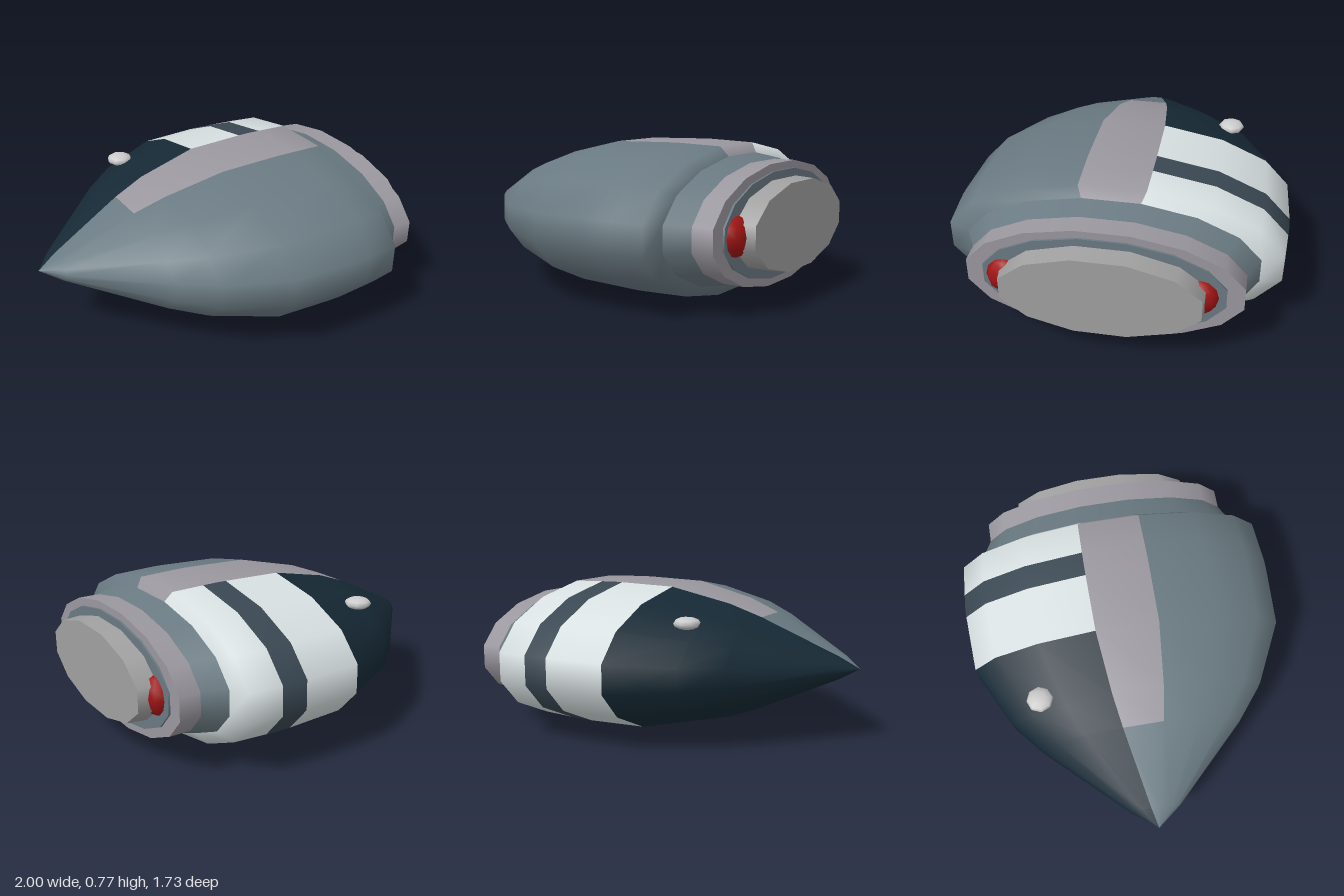
import * as THREE from 'three';

const SIDES = 16, STEP = (Math.PI * 2) / SIDES, FLAT = 0.449, CENTRE_Y = 0.39;
const COLORS = {
  hull: 0x6a7a82, light: 0xd8e0e2, stripe: 0x3a4853, nose: 0x162935,
  trim: 0x9a979f, engine: 0xa0a0a0, red: 0xa01414, white: 0xf4f4f4,
};

export function createModel() {
  const group = new THREE.Group();
  group.name = 'spacecraft';

  function add(name, geometry, color) {
    const material = new THREE.MeshStandardMaterial({ color, side: THREE.DoubleSide });
    const mesh = new THREE.Mesh(geometry, material);
    mesh.name = name;
    group.add(mesh);
    return mesh;
  }

  // Elliptical shell along x: profile holds [x, half width]; faces are counted from the bottom one
  function shell(name, profile, color, first = 0, count = SIDES, sides = SIDES) {
    const step = (Math.PI * 2) / sides;
    const points = profile.map(([x, w]) => new THREE.Vector2(w / Math.cos(step / 2), x));
    const start = Math.PI / 2 - step / 2 + first * step;
    const geometry = new THREE.LatheGeometry(points, count, start, count * step);
    geometry.rotateZ(-Math.PI / 2).scale(1, FLAT, 1).translate(0, CENTRE_Y, 0);
    return add(name, geometry, color);
  }

  // Hull outline, cut into panels along its length
  const outline = [[-1, 0], [-0.9, 0.13], [-0.5, 0.54], [-0.33, 0.68], [0, 0.845],
    [0.32, 0.862], [0.38, 0.863], [0.455, 0.858], [0.63, 0.845], [0.665, 0.735]];
  const between = (a, b) => outline.filter(([x]) => x >= a && x <= b);

  // Front half with the belly face
  shell('frontHull', outline, COLORS.hull, 9, 8);

  // Back half: dark nose, light panels and a stripe
  shell('backNose', between(-1, 0), COLORS.nose, 1, 7);
  shell('backPanel', between(0, 0.32), COLORS.light, 1, 7);
  shell('backStripe', between(0.32, 0.455), COLORS.stripe, 1, 7);
  shell('backRearPanel', between(0.455, 0.665), COLORS.light, 1, 7);

  // Spine along the top
  shell('spineTip', between(-1, -0.5), COLORS.hull, 8, 1);
  shell('spine', between(-0.5, 0.665), COLORS.trim, 8, 1);

  // Tail collar, ring and rear plate
  shell('tailCollar', [[0.665, 0.735], [0.78, 0.675]], COLORS.hull);
  shell('tailRing', [[0.78, 0.675], [0.89, 0.675]], COLORS.trim);
  shell('tailRingFace', [[0.89, 0.675], [0.8901, 0]], COLORS.trim);
  shell('rearPlateRim', [[0.89, 0.59], [0.9, 0.59]], COLORS.hull);
  shell('rearPlate', [[0.9, 0.59], [0.9001, 0]], COLORS.hull);

  // Engine block
  shell('engine', [[0.89, 0.5], [1, 0.485]], COLORS.engine, 0, 12, 12);
  shell('engineFace', [[0.9999, 0.485], [1, 0]], COLORS.engine, 0, 12, 12);

  // Red tail lights either side of the engine
  for (const [name, z] of [['frontTailLight', 0.48], ['backTailLight', -0.46]]) {
    const light = new THREE.SphereGeometry(1, 8, 6).scale(0.07, 0.1, 0.1);
    add(name, light.translate(0.89, CENTRE_Y, z), COLORS.red);
  }

  // Small dome on the dark nose
  const dome = new THREE.SphereGeometry(0.07, 8, 6).scale(1, FLAT, 1);
  add('noseDome', dome.translate(-0.28, 0.64, -0.51), COLORS.white);

  return group;
}
